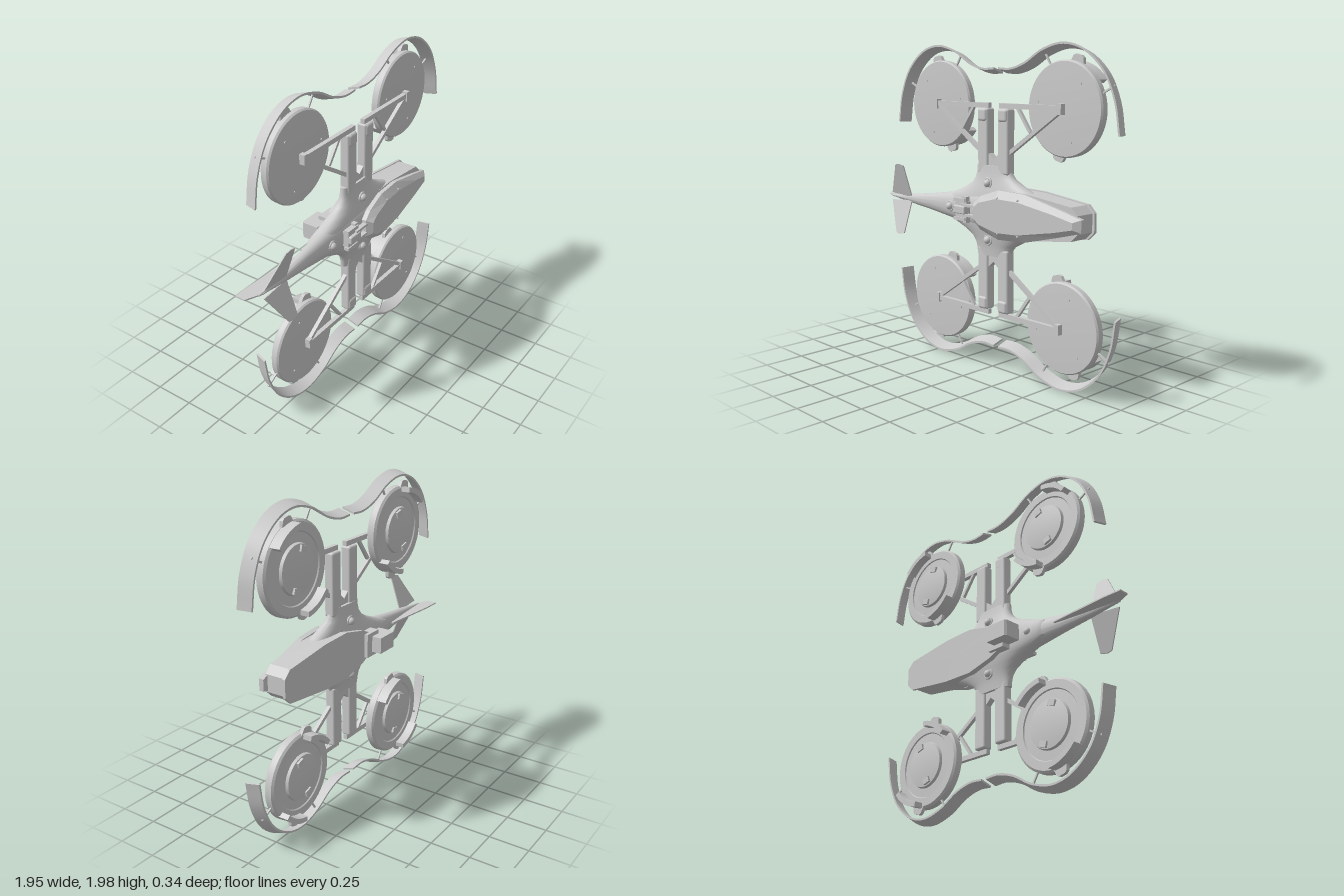
import * as THREE from 'three';
import { toCreasedNormals } from 'three/addons/utils/BufferGeometryUtils.js';
import { RoundedBoxGeometry } from 'three/addons/geometries/RoundedBoxGeometry.js';

const material = new THREE.MeshStandardMaterial({ color: 0xcccccc });
const CX = 0.05, CY = 1; // centre of the four-fold frame
const V = (x, y, z) => new THREE.Vector3(x, y, z);

// Closed solid through rings of equal point count, with capped ends
function loft(rings, crease = 0.5) {
  const tris = [];
  const n = rings[0].length;
  for (let i = 0; i < rings.length - 1; i++) {
    for (let j = 0; j < n; j++) {
      const k = (j + 1) % n, a = rings[i], b = rings[i + 1];
      tris.push([a[j], a[k], b[k]], [a[j], b[k], b[j]]);
    }
  }
  const cap = (ring, flip) => {
    const c = ring.reduce((s, p) => s.add(p), V(0, 0, 0)).divideScalar(n);
    ring.forEach((p, j) => {
      const q = ring[(j + 1) % n];
      tris.push(flip ? [c, q, p] : [c, p, q]);
    });
  };
  cap(rings[0], true);
  cap(rings[rings.length - 1], false);
  // make the faces point outwards whatever the ring direction
  const volume = tris.reduce((s, [a, b, c]) => s + a.dot(b.clone().cross(c)), 0);
  if (volume < 0) tris.forEach((t) => t.reverse());
  const geo = new THREE.BufferGeometry().setFromPoints(tris.flat());
  return toCreasedNormals(geo, crease);
}

// Ring of points on a rounded-square curve; place(a, b) maps the unit curve to space
function ring(place, count = 36, power = 0.8) {
  const soft = (t) => Math.sign(t) * Math.abs(t) ** power;
  return Array.from({ length: count }, (_, i) => {
    const t = (i / count) * Math.PI * 2;
    return place(soft(Math.cos(t)), soft(Math.sin(t)));
  });
}

// Flat outline in x and y, extruded from z0 to z1
function plate(points, z0, z1) {
  const shape = new THREE.Shape(points.map(([x, y]) => new THREE.Vector2(x, y)));
  return new THREE.ExtrudeGeometry(shape, { depth: z1 - z0, bevelEnabled: false }).translate(0, 0, z0);
}

const box = (w, h, d, x, y, z) => new THREE.BoxGeometry(w, h, d).translate(x, y, z);

// Straight bar in the frame plane
function bar(x0, y0, x1, y1, width, depth, z) {
  return new THREE.BoxGeometry(Math.hypot(x1 - x0, y1 - y0), width, depth)
    .rotateZ(Math.atan2(y1 - y0, x1 - x0))
    .translate((x0 + x1) / 2, (y0 + y1) / 2, z);
}

// Copy of a geometry scaled by signs, with the winding kept outward
function mirrored(geo, sx, sy) {
  const g = geo.index ? geo.toNonIndexed() : geo.clone();
  g.scale(sx, sy, 1);
  if (sx * sy < 0) {
    for (const name of ['position', 'normal']) {
      const a = g.attributes[name].array;
      for (let i = 0; i < a.length; i += 9) {
        for (let k = 3; k < 6; k++) [a[i + k], a[i + k + 3]] = [a[i + k + 3], a[i + k]];
      }
    }
  }
  return g;
}

// Curved wall following the rotor edge
function arcWall(r0, r1, a0, a1, z0, z1) {
  const s = new THREE.Shape();
  s.absarc(0, 0, r1, a0, a1, false);
  s.absarc(0, 0, r0, a1, a0, true);
  return new THREE.ExtrudeGeometry(s, { depth: z1 - z0, bevelEnabled: false, curveSegments: 16 }).translate(0, 0, z0);
}

// One quarter of the frame, in coordinates measured outward from its centre
function quarterParts() {
  const parts = [];
  const add = (name, geo) => parts.push([name, geo]);
  const RX = 0.515, RY = 0.625;
  const atRotor = (geo) => geo.translate(RX, RY, 0);

  // rotor housing: smooth front, stepped back with a raised cap
  const profile = [[0, -0.075], [0.09, -0.073], [0.14, -0.066], [0.145, -0.048], [0.2, -0.046], [0.205, -0.053],
    [0.255, -0.053], [0.268, -0.042], [0.27, -0.005], [0.262, 0.006], [0.15, 0.011], [0, 0.012]];
  const disc = new THREE.LatheGeometry(profile.map(([r, z]) => new THREE.Vector2(r, z)), 64).rotateX(Math.PI / 2);
  add('rotorHousing', atRotor(toCreasedNormals(disc, 0.5)));
  for (const turn of [0, Math.PI]) {
    add('rimWall', atRotor(arcWall(0.235, 0.266, 0.66, 1.47, -0.11, -0.04).rotateZ(turn)));
    const tab = plate([[-0.05, 0.25], [-0.035, 0.295], [-0.02, 0.305], [0.02, 0.305], [0.035, 0.295], [0.05, 0.25]], -0.052, -0.03);
    add('rimTab', atRotor(tab.rotateZ(turn - 0.24)));
    add('capLatch', atRotor(box(0.05, 0.035, 0.02, 0, 0.115, -0.072).rotateZ(turn + 0.3)));
  }
  for (let i = 0; i < 3; i++) {
    const a = 0.85 + (i * Math.PI * 2) / 3;
    add('housingScrew', atRotor(new THREE.CylinderGeometry(0.007, 0.007, 0.006, 10).rotateX(Math.PI / 2)
      .translate(0.19 * Math.cos(a), 0.19 * Math.sin(a), 0.011)));
  }

  // triangular support
  add('supportBar', bar(0.045, 0.63, RX, 0.63, 0.03, 0.028, 0.026));
  add('supportBrace', bar(0.12, 0.355, RX, 0.62, 0.024, 0.024, 0.024));
  add('supportStrut', bar(0.185, 0.62, 0.285, 0.485, 0.018, 0.02, 0.024));
  add('supportMount', box(0.03, 0.06, 0.045, RX, RY, 0.024));

  // arm with a rounded end cap
  add('arm', new RoundedBoxGeometry(0.085, 0.39, 0.065, 3, 0.014).translate(0.085, 0.42, 0.02));
  add('armCap', new RoundedBoxGeometry(0.075, 0.08, 0.074, 3, 0.018).translate(0.085, 0.575, 0.024));
  add('armWeb', plate([[0, 0.25], [0.06, 0.25], [0.06, 0.345], [0.04, 0.345], [0, 0.31]], 0, 0.04));

  // sloping guard band around the rotor, with two stays
  const curve = new THREE.CatmullRomCurve3([[0.918, 0.5], [0.885, 0.68], [0.805, 0.84], [0.665, 0.955], [0.515, 0.99],
    [0.36, 0.955], [0.22, 0.88], [0.11, 0.85], [0.02, 0.853]].map(([x, y]) => V(x, y, 0)));
  const rings = curve.getSpacedPoints(60).map((p, i) => {
    const t = curve.getTangentAt(i / 60);
    const at = (d, z) => V(p.x - t.y * d, p.y + t.x * d, z);
    return [at(0, 0.022), at(0.012, 0.022), at(0.036, -0.056), at(0.024, -0.056)];
  });
  add('guard', loft(rings));
  add('guardStay', bar(0.845, 0.76, 0.75, 0.71, 0.01, 0.01, -0.025));
  add('guardStay', bar(0.35, 0.93, 0.40, 0.85, 0.01, 0.01, -0.025));
  return parts;
}

// Outline of a hull layer from its upper half, mirrored about the centre line
function hullRing(half, depthAt, grow = 1) {
  const up = half.map(([x, y]) => V(x, CY + y * grow, depthAt(x)));
  const down = half.map(([x, y]) => V(x, CY - y * grow, depthAt(x))).reverse();
  return [...up, ...down];
}

export function createModel() {
  const model = new THREE.Group();
  const add = (name, geo, parent = model) => {
    const mesh = new THREE.Mesh(geo, material);
    mesh.name = name;
    parent.add(mesh);
    return mesh;
  };

  // four rotor units
  const parts = quarterParts();
  for (const sx of [-1, 1]) for (const sy of [-1, 1]) {
    const unit = new THREE.Group();
    unit.name = `${sy > 0 ? 'upper' : 'lower'}${sx > 0 ? 'Left' : 'Right'}Rotor`;
    unit.position.set(CX, CY, 0);
    for (const [name, geo] of parts) add(name, mirrored(geo, sx, sy), unit);
    model.add(unit);
  }

  // flared hub joining the arms: y offset, x from, x to, half depth
  const flare = [[0.275, -0.1, 0.17, 0.036], [0.235, -0.103, 0.18, 0.04], [0.2, -0.112, 0.21, 0.046],
    [0.165, -0.14, 0.28, 0.054], [0.13, -0.2, 0.36, 0.062], [0.09, -0.3, 0.46, 0.07], [0.045, -0.42, 0.52, 0.075]];
  const hubRing = ([, x0, x1, h], y) => ring((a, b) => V((x0 + x1) / 2 + (a * (x1 - x0)) / 2, y, 0.018 + b * h));
  add('hub', loft([...flare.map((f) => hubRing(f, CY + f[0])), ...flare.slice().reverse().map((f) => hubRing(f, CY - f[0]))], 0.8));

  // fuselage and tail boom: x, half height, z centre, half depth
  const boom = [[-0.91, 0.006, 0.045, 0.01], [-0.7, 0.03, 0.045, 0.026], [-0.5, 0.055, 0.036, 0.04], [-0.3, 0.085, 0.027, 0.058],
    [-0.1, 0.12, 0.022, 0.08], [0.1, 0.135, 0.02, 0.092], [0.3, 0.125, 0.012, 0.08], [0.5, 0.09, 0, 0.06]];
  add('tailBoom', loft(boom.map(([x, h, z, d]) => ring((a, b) => V(x, CY + a * h, z + b * d), 36, 0.9)), 0.8));

  // faceted nose: rear plate, side walls and sloping front canopy
  const rear = [[-0.12, 0.06], [-0.02, 0.105], [0.15, 0.145], [0.36, 0.14], [0.69, 0.1], [0.735, 0.055]];
  const front = [[-0.02, 0.055], [0.03, 0.1], [0.17, 0.146], [0.36, 0.14], [0.62, 0.075], [0.76, 0.037]];
  const wall = rear.map(([x, y]) => [x < 0.6 ? x : x - 0.015, y * 0.96]);
  const rim = (x) => 0.135 - 0.083 * x;
  add('rearPlate', loft([hullRing(rear, () => -0.088), hullRing(rear, () => -0.07)], 0.1));
  add('noseWalls', loft([hullRing(wall, () => -0.072), hullRing(wall, (x) => 0.08 - 0.03 * Math.max(x, 0))], 0.1));
  const top = [[0.01, 0.035], [0.05, 0.065], [0.18, 0.1], [0.34, 0.095], [0.59, 0.05], [0.72, 0.02]];
  add('canopy', loft([hullRing(front, (x) => rim(x) - 0.03, 0.96), hullRing(front, rim), hullRing(top, (x) => 0.171 - 0.095 * x)], 0.1));
  for (const s of [-1, 1]) for (const x of [0.19, 0.34]) {
    add('canopyStud', new THREE.SphereGeometry(0.007, 8, 6).translate(x, CY + s * 0.105, 0.167 - 0.095 * x));
  }

  // sensor domes with collars, front and back
  const dome = (x, y, z, face) => {
    add('sensorCollar', new THREE.TorusGeometry(0.028, 0.007, 8, 24).translate(x, y, z));
    add('sensorDome', new THREE.SphereGeometry(0.024, 20, 12).translate(x, y, z + face * 0.004));
  };
  for (const s of [-1, 1]) {
    dome(0.035, CY + s * 0.172, 0.071, 1);
    dome(0.035, CY + s * 0.172, -0.034, -1);
    add('sideSensor', new THREE.SphereGeometry(0.028, 20, 12).translate(0.25, CY + s * 0.14, 0.015));
  }
  dome(-0.29, CY, 0.084, 1);
  dome(-0.29, CY, -0.03, -1);

  // equipment on the front of the body
  add('turretBase', box(0.1, 0.1, 0.05, -0.14, CY, 0.105));
  for (const s of [-1, 1]) {
    add('turretCheek', box(0.1, 0.02, 0.035, -0.15, CY + s * 0.058, 0.12));
    add('turretRail', box(0.13, 0.015, 0.03, -0.06, CY + s * 0.03, 0.13));
    add('turretClamp', box(0.03, 0.03, 0.03, -0.11, CY + s * 0.065, 0.115));
  }
  add('turretHead', new RoundedBoxGeometry(0.1, 0.05, 0.04, 2, 0.008).translate(-0.14, CY, 0.132));

  // camera box on the back
  add('cameraMount', box(0.12, 0.15, 0.06, -0.1, CY, -0.08));
  const cameraSide = plate([[-0.245, 0.06], [-0.09, 0.06], [-0.09, 0.172], [-0.235, 0.172], [-0.245, 0.16]], -0.05, 0.05);
  add('cameraBox', cameraSide.rotateX(-Math.PI / 2).translate(0, CY, 0));

  // tail fins: a swept pair and a thin centre fin
  for (const s of [-1, 1]) {
    const fin = plate([[-0.89, 0.025], [-0.88, 0.04], [-0.77, 0.225], [-0.735, 0.232], [-0.692, 0.222], [-0.692, 0.01]], -0.004, 0.004);
    const p = fin.attributes.position;
    for (let i = 0; i < p.count; i++) p.setZ(i, p.getZ(i) + 0.058 + 0.33 * p.getY(i));
    fin.computeVertexNormals();
    add(s > 0 ? 'upperTailFin' : 'lowerTailFin', mirrored(fin, 1, s).translate(0, CY, 0));
  }
  const keel = plate([[-0.985, 0.05], [-0.87, 0.05], [-0.48, 0.02], [-0.48, -0.05], [-0.88, -0.06], [-0.985, -0.015]], -0.004, 0.004);
  add('centreTailFin', keel.rotateX(-Math.PI / 2).translate(0, CY, 0));
  return model;
}
